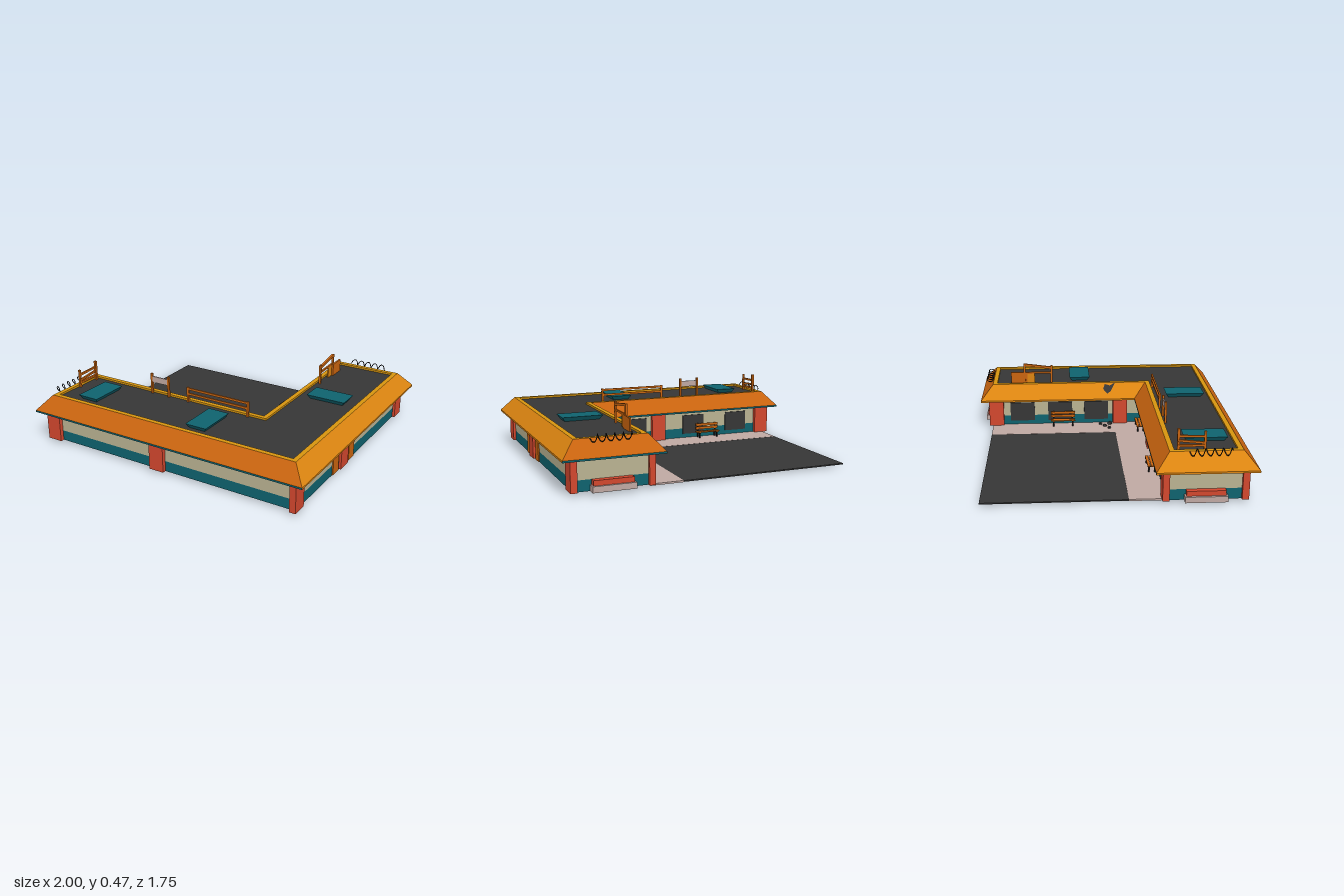
import * as THREE from 'three';

const mat = (name, color, side = THREE.FrontSide) => {
  const m = new THREE.MeshStandardMaterial({ color, side });
  m.name = name;
  return m;
};

export function createModel() {
  const D = THREE.DoubleSide;
  const orange = mat('burntOrange', 0xc9640f);
  const amber = mat('amber', 0xdd8511);
  const gold = mat('gold', 0xd6940f, D);
  const teal = mat('teal', 0x0f626e, D);
  const beige = mat('beige', 0xb9b292, D);
  const red = mat('brickRed', 0xd2472e);
  const asphalt = mat('asphalt', 0x363636, D);
  const concrete = mat('concrete', 0xbfa8a2);
  const black = mat('black', 0x141414);
  const root = new THREE.Group();
  root.name = 'shopBuilding';

  const add = (name, geo, m, parent = root) => {
    const mesh = new THREE.Mesh(geo, m);
    mesh.name = name;
    parent.add(mesh);
    return mesh;
  };
  // Box given by its min and max on each axis
  const box = (name, m, x0, x1, y0, y1, z0, z1, parent = root) => {
    const b = add(name, new THREE.BoxGeometry(x1 - x0, y1 - y0, z1 - z0), m, parent);
    b.position.set((x0 + x1) / 2, (y0 + y1) / 2, (z0 + z1) / 2);
    return b;
  };
  // Round-free bar between two points
  const bar = (name, m, a, b, w, parent = root) => {
    const p = new THREE.Vector3(...a), q = new THREE.Vector3(...b);
    const mesh = add(name, new THREE.BoxGeometry(w, w, p.distanceTo(q)), m, parent);
    mesh.position.copy(p).add(q).multiplyScalar(0.5);
    mesh.lookAt(q);
    return mesh;
  };

  // L-shaped outline, inset by d from the eaves
  const outline = (d) => [
    [-1 + d, 0.25 + d], [0.37 + d, 0.25 + d], [0.37 + d, -0.88 + d],
    [1 - d, -0.88 + d], [1 - d, 0.87 - d], [-1 + d, 0.87 - d],
  ];
  // Band of quads between two insets and heights; sides picks which edges
  const band = (name, m, d0, y0, d1, y1, sides = [0, 1, 2, 3, 4, 5]) => {
    const lo = outline(d0), hi = outline(d1), pos = [];
    for (const i of sides) {
      const j = (i + 1) % 6;
      const A0 = [lo[i][0], y0, lo[i][1]], B0 = [lo[j][0], y0, lo[j][1]];
      const A1 = [hi[i][0], y1, hi[i][1]], B1 = [hi[j][0], y1, hi[j][1]];
      pos.push(...B0, ...A0, ...A1, ...B0, ...A1, ...B1);
    }
    const g = new THREE.BufferGeometry();
    g.setAttribute('position', new THREE.Float32BufferAttribute(pos, 3));
    g.computeVertexNormals();
    return add(name, g, m);
  };
  const slab = (name, m, d, y) => {
    const s = new THREE.Shape(outline(d).map(([x, z]) => new THREE.Vector2(x, -z)));
    add(name, new THREE.ShapeGeometry(s).rotateX(-Math.PI / 2), m).position.y = y;
  };

  // Walls
  const W = 0.075;
  band('lowerWall', teal, W, 0.02, W, 0.09);
  band('upperWall', beige, W, 0.09, W, 0.22);

  // Roof: soffit, fascia, sloped skirt, parapet and flat deck
  slab('soffit', teal, 0, 0.218);
  band('eaveEdge', teal, 0, 0.218, 0, 0.23, [0, 2, 4]);
  band('eaveEdge', amber, 0, 0.218, 0, 0.23, [1, 3, 5]);
  band('roofSlopeZ', orange, 0, 0.23, 0.087, 0.33, [0, 2, 4]);
  band('roofSlopeX', amber, 0, 0.23, 0.087, 0.33, [1, 3, 5]);
  band('parapetTop', gold, 0.087, 0.33, 0.118, 0.33);
  band('parapetInside', gold, 0.118, 0.315, 0.118, 0.33);
  slab('roofDeck', asphalt, 0.117, 0.317);

  // Pillars along both faces of each wing
  for (const x of [-0.8925, -0.045]) {
    box('pillar', red, x - 0.053, x + 0.053, 0.02, 0.22, 0.78, 0.822);
    box('pillar', red, x - 0.053, x + 0.053, 0.02, 0.22, 0.298, 0.34);
  }
  for (const z of [0.7725, 0.1475, -0.7725]) {
    box('pillar', red, 0.9, 0.942, 0.02, 0.22, z - 0.053, z + 0.053);
    if (z < 0.5) box('pillar', red, 0.42, 0.46, 0.02, 0.22, z - 0.053, z + 0.053);
  }

  // Parking lot and pavement
  box('parkingLot', asphalt, -0.905, 0.23, 0.012, 0.02, -0.8, 0.1);
  box('pavement', concrete, -0.905, 0.445, 0.01, 0.021, 0.1, 0.325);
  box('pavement', concrete, 0.23, 0.445, 0.01, 0.021, -0.8, 0.1);

  // Planters on the two end walls
  box('planterBase', concrete, 0.55, 0.82, 0.02, 0.058, -0.858, -0.8);
  box('planterTop', red, 0.56, 0.81, 0.058, 0.09, -0.845, -0.8);
  box('planterBase', concrete, -0.975, -0.92, 0.02, 0.058, 0.43, 0.69);
  box('planterTop', red, -0.96, -0.92, 0.058, 0.09, 0.44, 0.68);

  // Round-topped side doors
  for (const z of [0.26, 0.025]) {
    const s = new THREE.Shape();
    s.moveTo(-0.04, 0.022);
    s.lineTo(0.04, 0.022);
    s.lineTo(0.04, 0.16);
    s.quadraticCurveTo(0.04, 0.18, 0.02, 0.18);
    s.lineTo(-0.02, 0.18);
    s.quadraticCurveTo(-0.04, 0.18, -0.04, 0.16);
    const door = add('sideDoor', new THREE.ExtrudeGeometry(s, { depth: 0.009, bevelEnabled: false }), orange);
    door.rotation.y = Math.PI / 2;
    door.position.set(0.924, 0, z);
  }
  // Small wall vents
  for (const z of [0.655, 0.6, -0.365, -0.415])
    for (const y of [0.173, 0.186]) box('vent', black, 0.92, 0.93, y - 0.002, y + 0.002, z - 0.013, z + 0.013);

  // Shop windows facing the courtyard
  for (const x of [-0.68, -0.33, 0.13, 0.34]) box('shopWindow', asphalt, x - 0.085, x + 0.085, 0.05, 0.19, 0.318, 0.326);
  for (const z of [-0.58, -0.3, -0.03]) box('shopWindow', asphalt, 0.438, 0.446, 0.05, 0.19, z - 0.09, z + 0.09);

  // Slatted benches
  const bench = (x, z, turn) => {
    const g = new THREE.Group();
    g.name = 'bench';
    for (const s of [-0.07, 0.07]) {
      box('benchLeg', black, s - 0.005, s + 0.005, 0.02, 0.06, 0.015, 0.025, g);
      box('benchBackPost', black, s - 0.005, s + 0.005, 0.02, 0.125, -0.022, -0.014, g);
      box('benchFrame', black, s - 0.005, s + 0.005, 0.055, 0.061, -0.02, 0.03, g);
    }
    for (const d of [-0.002, 0.02]) box('benchSeat', orange, -0.09, 0.09, 0.061, 0.068, d - 0.009, d + 0.009, g);
    for (const y of [0.09, 0.115]) box('benchBack', orange, -0.09, 0.09, y - 0.009, y + 0.009, -0.016, -0.009, g);
    g.position.set(x, 0, z);
    g.rotation.y = turn;
    root.add(g);
  };
  bench(-0.43, 0.285, Math.PI);
  bench(0.31, 0.285, Math.PI);
  bench(0.4, -0.28, -Math.PI / 2);

  // Skylights, narrower at the base
  const skylight = (x0, x1, z0, z1) => {
    const g = new THREE.BoxGeometry(x1 - x0, 0.03, z1 - z0);
    const p = g.attributes.position;
    for (let i = 0; i < p.count; i++)
      if (p.getY(i) < 0) p.setXYZ(i, p.getX(i) - Math.sign(p.getX(i)) * 0.02, p.getY(i), p.getZ(i) - Math.sign(p.getZ(i)) * 0.02);
    g.computeVertexNormals();
    add('skylight', g, teal).position.set((x0 + x1) / 2, 0.331, (z0 + z1) / 2);
  };
  skylight(-0.74, -0.59, 0.45, 0.72);
  skylight(0.115, 0.265, 0.45, 0.72);
  skylight(0.55, 0.82, -0.225, -0.075);

  // Sign frame with a pale panel
  for (const x of [-0.385, -0.25]) box('signPost', orange, x - 0.007, x + 0.007, 0.315, 0.46, 0.373, 0.387);
  box('signPanel', concrete, -0.385, -0.25, 0.398, 0.44, 0.376, 0.384);
  // Long roof railing
  for (const x of [-0.095, 0.36]) box('railPost', orange, x - 0.007, x + 0.007, 0.315, 0.42, 0.37, 0.384);
  for (const y of [0.41, 0.374]) box('rail', orange, -0.095, 0.36, y - 0.007, y + 0.007, 0.372, 0.382);
  // Railing on the left end
  bar('railPost', orange, [-0.87, 0.315, 0.555], [-0.87, 0.44, 0.555], 0.014);
  bar('railPost', orange, [-0.865, 0.315, 0.395], [-0.865, 0.455, 0.395], 0.016);
  bar('rail', orange, [-0.87, 0.405, 0.555], [-0.87, 0.41, 0.395], 0.013);
  bar('rail', orange, [-0.87, 0.365, 0.555], [-0.87, 0.382, 0.395], 0.013);
  bar('rail', orange, [-0.87, 0.348, 0.555], [-0.87, 0.35, 0.395], 0.013);
  // Broken sign frame on the right wing
  bar('signPost', orange, [0.51, 0.315, -0.36], [0.51, 0.455, -0.36], 0.014);
  bar('signPost', orange, [0.51, 0.315, -0.56], [0.51, 0.47, -0.56], 0.014);
  bar('rail', orange, [0.51, 0.437, -0.36], [0.51, 0.463, -0.56], 0.016);
  bar('rail', orange, [0.51, 0.4, -0.36], [0.51, 0.4, -0.56], 0.012);
  box('fallenPanel', orange, 0.514, 0.526, 0.317, 0.402, -0.66, -0.54);
  box('fallenPanel', amber, 0.505, 0.514, 0.317, 0.395, -0.54, -0.485);

  // Coiled wire on the two end eaves
  class Coil extends THREE.Curve {
    getPoint(t, v = new THREE.Vector3()) {
      const a = t * Math.PI * 10;
      return v.set((t - 0.5) * 0.26, Math.sin(a) * 0.022, Math.cos(a) * 0.022);
    }
  }
  const coil = new THREE.TubeGeometry(new Coil(), 120, 0.003, 5);
  add('wireCoil', coil, black).position.set(0.685, 0.332, -0.822);
  const endCoil = add('wireCoil', coil, black);
  endCoil.position.set(-0.94, 0.332, 0.585);
  endCoil.rotation.y = Math.PI / 2;

  // Hole in the inner roof slope: outline in (z, height up the slope)
  const hole = new THREE.ShapeGeometry(new THREE.Shape(
    [[0.05, 0.3], [0.02, 0.6], [0.035, 0.9], [0.07, 0.8], [0.11, 0.98], [0.09, 0.65], [0.075, 0.45]].map((p) => new THREE.Vector2(...p))));
  const hp = hole.attributes.position;
  for (let i = 0; i < hp.count; i++) {
    const z = hp.getX(i), u = hp.getY(i);
    hp.setXYZ(i, 0.367 + u * 0.087, 0.233 + u * 0.1, z);
  }
  hole.computeVertexNormals();
  add('roofHole', hole, asphalt);

  // Rubble fallen on the pavement below
  [[0.36, 0.03, 0.016], [0.315, 0.06, 0.013], [0.41, 0.07, 0.022], [0.4, 0.0, 0.014]].forEach(([x, z, r], i) => {
    const chunk = add('rubble', new THREE.DodecahedronGeometry(r, 0), asphalt);
    chunk.position.set(x, 0.02, z);
    chunk.scale.y = 0.02 / r;
    chunk.rotation.y = i * 1.3;
  });
  return root;
}
